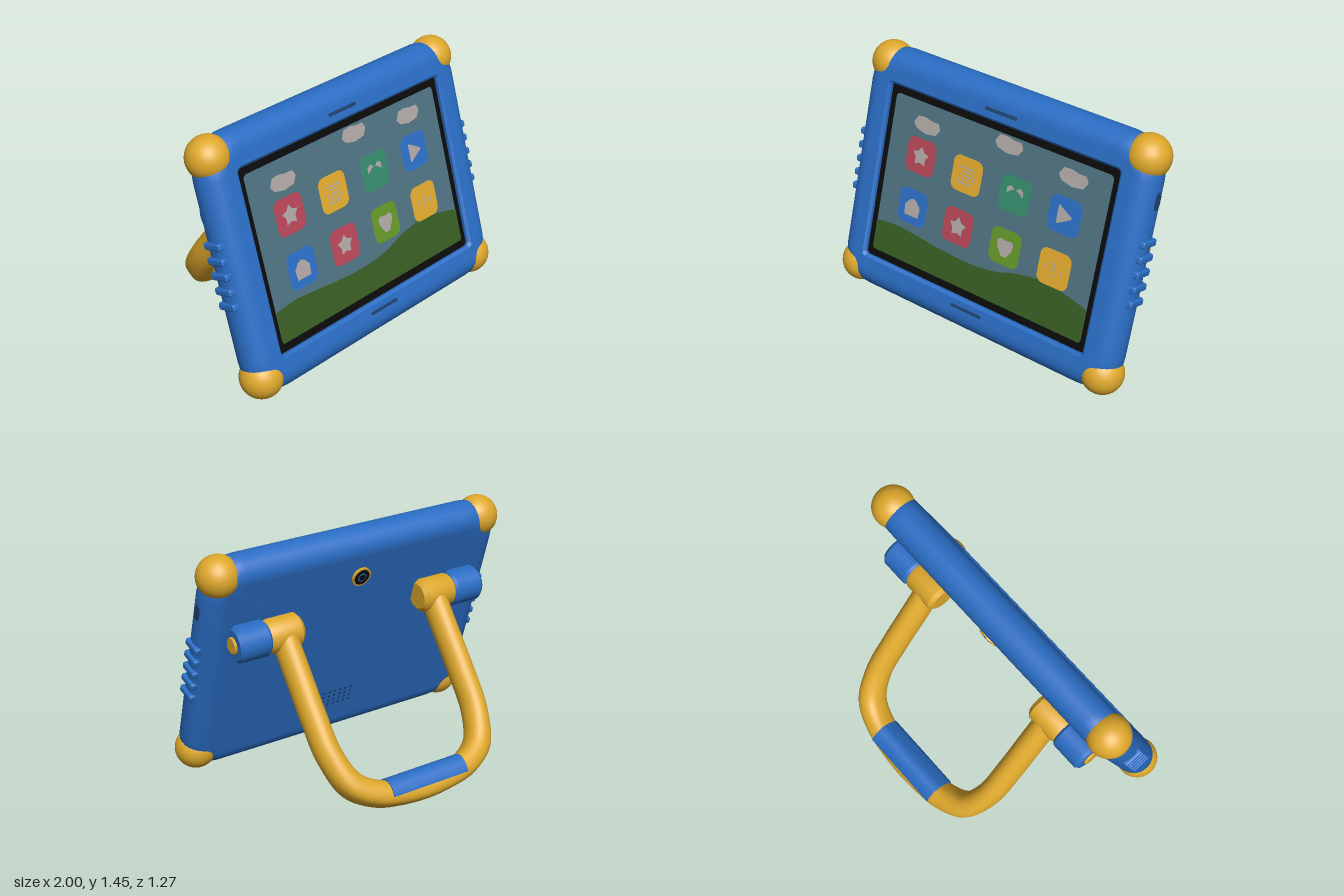
import * as THREE from 'three';
import { toCreasedNormals } from 'three/addons/utils/BufferGeometryUtils.js';
import { RoundedBoxGeometry } from 'three/addons/geometries/RoundedBoxGeometry.js';

const mat = (name, color) => Object.assign(new THREE.MeshStandardMaterial({ color }), { name });

function add(parent, name, geometry, material, x = 0, y = 0, z = 0) {
  const mesh = new THREE.Mesh(geometry, material);
  mesh.name = name;
  mesh.position.set(x, y, z);
  parent.add(mesh);
  return mesh;
}

// Points of a rounded rectangle, counter-clockwise
function rectPoints(hw, hh, r, seg = 8) {
  const pts = [];
  [[1, 1], [-1, 1], [-1, -1], [1, -1]].forEach(([sx, sy], q) => {
    for (let i = 0; i <= seg; i++) {
      const a = (q + i / seg) * Math.PI / 2;
      pts.push(new THREE.Vector2(sx * (hw - r) + r * Math.cos(a), sy * (hh - r) + r * Math.sin(a)));
    }
  });
  return pts;
}
const rectShape = (w, h, r) => new THREE.Shape(rectPoints(w / 2, h / 2, r, 6));
const polyShape = (pairs) => new THREE.Shape(pairs.map(([x, y]) => new THREE.Vector2(x, y)));
const flat = (shape) => new THREE.ShapeGeometry(shape, 12);

// Skin over a row of rounded rectangles [halfWidth, halfHeight, radius, z]
function loft(rings) {
  const pos = [], index = [];
  rings.forEach(([hw, hh, r, z]) => rectPoints(hw, hh, r).forEach((p) => pos.push(p.x, p.y, z)));
  const n = pos.length / 3 / rings.length;
  for (let i = 0; i < rings.length - 1; i++) {
    for (let j = 0; j < n; j++) {
      const a = i * n + j, b = i * n + (j + 1) % n;
      index.push(a, b, b + n, a, b + n, a + n);
    }
  }
  const g = new THREE.BufferGeometry();
  g.setAttribute('position', new THREE.Float32BufferAttribute(pos, 3));
  g.setIndex(index);
  return toCreasedNormals(g, 0.5);
}

// Turned part lying along x, from a profile of [radius, x]
function turned(profile, mirror) {
  const pts = profile.map(([r, x]) => new THREE.Vector2(r, x));
  const g = toCreasedNormals(new THREE.LatheGeometry(pts, 40), 0.5);
  return g.rotateZ(mirror > 0 ? -Math.PI / 2 : Math.PI / 2);
}

function starShape(r) {
  return polyShape(Array.from({ length: 10 }, (_, i) => {
    const a = Math.PI / 2 + i * Math.PI / 5, d = i % 2 ? r * 0.6 : r;
    return [d * Math.cos(a), d * Math.sin(a)];
  }));
}

// Round tube whose section grows boxier towards the crossbar
function handleGeometry(curve) {
  const g = new THREE.TubeGeometry(curve, 96, 0.073, 28);
  const p = g.attributes.position;
  for (let i = 0; i < p.count; i++) {
    const k = THREE.MathUtils.smoothstep(-p.getY(i), 0.75, 1);
    const z = p.getZ(i) / 0.073;
    p.setZ(i, 0.089 * Math.sign(z) * Math.pow(Math.abs(z), 1 - 0.4 * k));
  }
  return toCreasedNormals(g, 0.9);
}

export function createModel() {
  const blue = mat('blue', 0x2a6dc4), yellow = mat('yellow', 0xdea82c), black = mat('black', 0x0a0a0a);
  const sky = mat('sky', 0x4d717f), red = mat('red', 0xb54556), teal = mat('teal', 0x348a6c);
  const lime = mat('lime', 0x649529), hill = mat('hillGreen', 0x375c22);
  const pale = mat('paleGrey', 0xaca5a4), navy = mat('navy', 0x21436f);

  const model = new THREE.Group();
  model.name = 'tabletWithStand';
  const tablet = new THREE.Group();
  tablet.name = 'tablet';
  tablet.position.set(0, 0.7175, 0.3375);
  tablet.rotation.x = -0.299;
  model.add(tablet);

  // Case with round edges and a recess for the screen
  const b = 0.11, rings = [[0, 0, 0, -0.112], [0.86, 0.61, 0.1, -0.112]];
  for (let i = 0; i <= 12; i++) {
    const t = (i / 12 - 0.5) * Math.PI, inset = b - b * Math.cos(t);
    rings.push([0.98 - inset, 0.73 - inset, 0.22 - inset, b * Math.sin(t) + (i < 6 ? -0.002 : 0.002)]);
  }
  rings.push([0.86, 0.61, 0.1, 0.112], [0.802, 0.542, 0.03, 0.112], [0.788, 0.528, 0.025, 0.098], [0.788, 0.528, 0.025, 0.07]);
  add(tablet, 'case', loft(rings), blue);

  // Corner bumpers and side grips
  for (const s of [1, -1]) {
    for (const v of [1, -1]) add(tablet, 'cornerBumper', new THREE.SphereGeometry(0.123, 40, 28), yellow, s * 0.877, v * 0.622, 0);
    for (let i = -2; i <= 2; i++) {
      add(tablet, 'sideGrip', new RoundedBoxGeometry(0.06, 0.042, 0.125, 4, 0.013), blue, s * 0.967, i * 0.085, 0);
    }
  }
  add(tablet, 'sideButton', flat(rectShape(0.056, 0.1, 0.027)).rotateY(Math.PI / 2), navy, 0.982, 0.405, 0);
  for (const y of [0.59, -0.585]) add(tablet, 'speakerSlot', flat(rectShape(0.22, 0.02, 0.01)), navy, 0, y, 0.1135);

  // Screen
  add(tablet, 'bezel', flat(rectShape(1.58, 1.06, 0.025)), black, 0, 0, 0.08);
  add(tablet, 'display', flat(rectShape(1.5, 0.962, 0.025)), sky, 0, 0, 0.083);
  const land = new THREE.Shape();
  land.moveTo(-0.74, -0.481);
  land.lineTo(0.74, -0.481);
  land.lineTo(0.75, -0.47);
  land.lineTo(0.75, -0.285);
  land.splineThru([[0.6, -0.25], [0.45, -0.232], [0.28, -0.255], [0.12, -0.3], [-0.05, -0.318], [-0.25, -0.312],
    [-0.45, -0.295], [-0.6, -0.285], [-0.75, -0.3]].map(([x, y]) => new THREE.Vector2(x, y)));
  land.lineTo(-0.75, -0.47);
  add(tablet, 'hills', flat(land), hill, 0, 0, 0.086);
  const cloud = polyShape([[-0.095, 0], [-0.07, -0.03], [0, -0.045], [0.07, -0.035], [0.097, 0.005], [0.08, 0.04],
    [0.03, 0.04], [-0.02, 0.05], [-0.07, 0.045]]);
  for (const [x, y] of [[-0.5, 0.352], [0.07, 0.424], [0.51, 0.382]]) add(tablet, 'cloud', flat(cloud), pale, x, y, 0.086);

  // App tiles, each with a pale symbol
  const star = [starShape(0.06)];
  const bar = (x, y, w, h) => polyShape([[x, y], [x + w, y], [x + w, y + h], [x, y + h]]);
  const list = [bar(-0.05, 0.038, 0.1, 0.01), bar(-0.025, 0.014, 0.055, 0.01), bar(-0.025, -0.01, 0.055, 0.01),
    bar(-0.025, -0.032, 0.04, 0.01), bar(-0.05, -0.055, 0.1, 0.01), bar(-0.05, -0.045, 0.008, 0.05), bar(0.042, -0.045, 0.008, 0.083)];
  const peaks = [-1, 1].map((s) => polyShape([[s * 0.055, 0], [s * 0.055, 0.035], [s * 0.03, 0.05], [s * 0.005, 0.03], [s * 0.025, 0.022]]));
  const play = [polyShape([[-0.045, -0.052], [-0.035, -0.052], [0.048, -0.006], [0.048, 0.006], [-0.035, 0.052], [-0.045, 0.052]])];
  const house = [polyShape([[-0.05, -0.055], [0.05, -0.055], [0.055, 0.005], [0.025, 0.04], [0, 0.05], [-0.025, 0.04], [-0.055, 0.005]])];
  const shield = [polyShape([[-0.055, 0.03], [-0.05, -0.005], [-0.018, -0.055], [0.018, -0.055], [0.05, -0.005], [0.055, 0.03],
    [0.04, 0.046], [0, 0.04], [-0.04, 0.046]])];
  const clock = [bar(-0.006, -0.02, 0.012, 0.06), bar(-0.055, -0.02, 0.008, 0.04), bar(0.047, -0.02, 0.008, 0.04),
    bar(-0.006, -0.045, 0.012, 0.012)];
  const tiles = [[[red, star], [yellow, list], [teal, peaks], [blue, play]], [[blue, house], [red, star], [lime, shield], [yellow, clock]]];
  tiles.forEach((row, r) => row.forEach(([colour, symbol], c) => {
    const x = -0.505 + c * 0.336, y = r ? -0.138 : 0.17;
    add(tablet, 'appTile', flat(rectShape(0.206, 0.208, 0.045)), colour, x, y, 0.089);
    add(tablet, 'tileSymbol', new THREE.ShapeGeometry(symbol), pale, x, y, 0.092);
  }));

  // Rear camera
  const disc = (name, r, depth, m) => add(tablet, name, new THREE.CylinderGeometry(r, r, depth, 32).rotateX(Math.PI / 2), m, 0, 0.476, -0.105 - depth / 2);
  disc('cameraRing', 0.06, 0.02, yellow);
  disc('cameraGlass', 0.049, 0.022, black);
  disc('lensRing', 0.027, 0.024, blue);
  disc('lens', 0.02, 0.026, black);

  // Rear speaker holes and microphone
  const hole = (name, x, y, r) => add(tablet, name, new THREE.CircleGeometry(r, 12).rotateY(Math.PI), navy, x, y, -0.1135);
  for (let i = 0; i < 6; i++) for (let j = 0; j < 4; j++) hole('speakerHole', (i - 2.5) * 0.038, -0.43 + (j - 1.5) * 0.032, 0.009);
  hole('microphone', 0, -0.27, 0.005);

  // Swivelling handle that doubles as a stand
  const handle = new THREE.Group();
  handle.name = 'handle';
  handle.position.set(0, 0.913, 0.107);
  handle.rotation.x = 0.656;
  model.add(handle);
  const half = [[0.515, 0], [0.515, 0.25], [0.515, 0.5], [0.503, 0.74], [0.435, 0.925], [0.3, 1.015], [0.15, 1.047]];
  const path = [...half, [0, 1.058], ...half.map(([x, s]) => [-x, s]).reverse()].map(([x, s]) => new THREE.Vector3(x, -s, 0));
  add(handle, 'handleTube', handleGeometry(new THREE.CatmullRomCurve3(path)), yellow);

  // Half sleeve on the upper inner side of the crossbar
  const sleeve = new THREE.Shape(), mid = 1.2;
  sleeve.absarc(0, 0, 0.088, mid - Math.PI / 2, mid + Math.PI / 2, false);
  sleeve.absarc(0, 0, 0.06, mid + Math.PI / 2, mid - Math.PI / 2, true);
  const grip = new THREE.ExtrudeGeometry(sleeve, { depth: 0.51, bevelEnabled: false, curveSegments: 24 });
  const gripPos = grip.attributes.position;
  for (let i = 0; i < gripPos.count; i++) {
    const x = gripPos.getX(i) / 0.088;
    gripPos.setX(i, 0.096 * Math.sign(x) * Math.pow(Math.abs(x), 0.62));
  }
  grip.translate(0, 0, -0.255).rotateY(Math.PI / 2);
  add(handle, 'gripSleeve', toCreasedNormals(grip, 0.5), blue, 0, -1.035, 0);

  // Hinges: blue barrel, yellow hub and end cap
  for (const s of [1, -1]) {
    add(handle, 'hingeBarrel', turned([[0, 0.63], [0.092, 0.63], [0.105, 0.645], [0.105, 0.81], [0.088, 0.83], [0, 0.83]], s), blue);
    add(handle, 'hingeHub', turned([[0, 0.41], [0.075, 0.41], [0.1, 0.435], [0.1, 0.61], [0.09, 0.63], [0, 0.63]], s), yellow);
    add(handle, 'hingeCap', turned([[0, 0.82], [0.05, 0.82], [0.05, 0.835], [0.044, 0.842], [0, 0.842]], s), yellow);
    add(tablet, 'hingeMount', new RoundedBoxGeometry(0.17, 0.19, 0.06, 3, 0.012), blue, s * 0.73, 0.255, -0.115);
  }
  return model;
}
